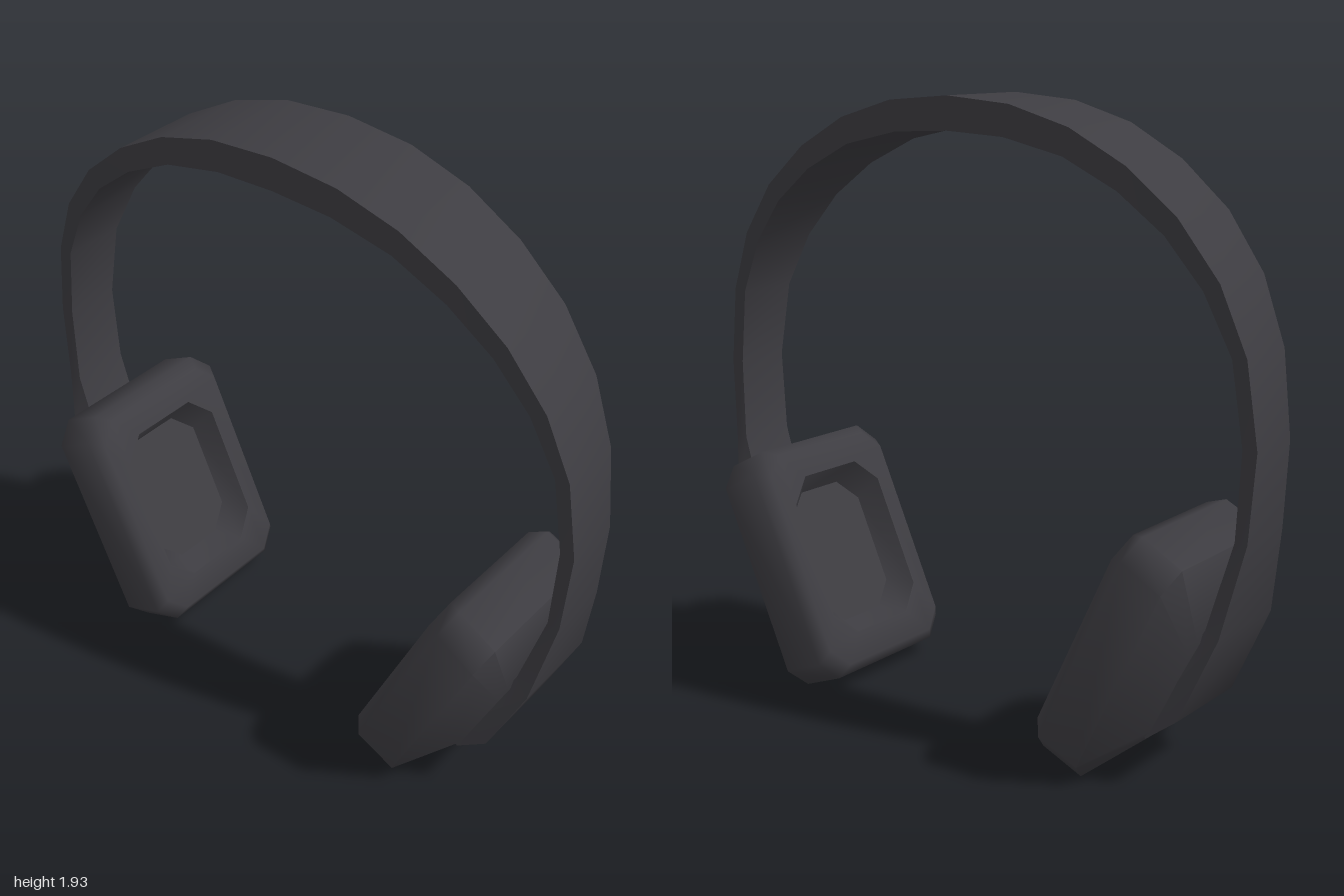
import * as THREE from 'three';
import { toCreasedNormals } from 'three/addons/utils/BufferGeometryUtils.js';

// Skin a list of equal-sized rings; each ring runs right-handed around the direction of travel.
function loft(rings, crease, capStart, capEnd) {
  const n = rings[0].length, index = [];
  for (let i = 0; i < rings.length - 1; i++) {
    for (let j = 0; j < n; j++) {
      const k = (j + 1) % n, a = i * n + j, b = i * n + k;
      index.push(a, b, b + n, a, b + n, a + n);
    }
  }
  const last = (rings.length - 1) * n;
  for (let j = 1; j < n - 1; j++) {
    if (capStart) index.push(0, j + 1, j);
    if (capEnd) index.push(last, last + j, last + j + 1);
  }
  const g = new THREE.BufferGeometry();
  g.setAttribute('position', new THREE.Float32BufferAttribute(rings.flat(2), 3));
  g.setIndex(index);
  return toCreasedNormals(g, crease);
}

// Octagonal ring in the tilted frame of the ear cup:
// half length U, half width Z, corner cut c, depth d outward, shift s along the length.
function cupRing([U, Z, c, d, s = 0]) {
  const corners = [
    [U, Z - c], [U - c, Z], [-U + c, Z], [-U, Z - c],
    [-U, -Z + c], [-U + c, -Z], [U - c, -Z], [U, -Z + c],
  ];
  return corners.map(([u, z]) => [
    0.535 + 0.416 * (u + s) + 0.909 * d,
    0.43 + 0.909 * (u + s) - 0.416 * d,
    z,
  ]);
}

export function createModel() {
  const group = new THREE.Group();
  const charcoal = new THREE.MeshStandardMaterial({ color: 0x3e3d42 });
  charcoal.name = 'charcoal';

  const add = (parent, name, geometry) => {
    const mesh = new THREE.Mesh(geometry, charcoal);
    mesh.name = name;
    parent.add(mesh);
  };

  // Headband half: outer x, y, inner x, y, outer half width, inner half width
  const half = [
    [0, 1.93, 0, 1.83, 0.165, 0.165],
    [0.22, 1.912, 0.2, 1.82, 0.163, 0.163],
    [0.42, 1.855, 0.4, 1.775, 0.157, 0.157],
    [0.6, 1.76, 0.575, 1.69, 0.148, 0.148],
    [0.76, 1.63, 0.72, 1.58, 0.136, 0.136],
    [0.885, 1.465, 0.835, 1.44, 0.12, 0.12],
    [0.965, 1.27, 0.92, 1.265, 0.104, 0.104],
    [1, 1.02, 0.955, 1.02, 0.093, 0.093],
    [0.985, 0.76, 0.945, 0.76, 0.1, 0.098],
    [0.935, 0.49, 0.865, 0.49, 0.15, 0.1],
    [0.815, 0.22, 0.74, 0.26, 0.155, 0.13],
    [0.713, 0.14, 0.66, 0.2, 0.155, 0.13],
  ];
  const bandRing = (side) => ([ox, oy, ix, iy, wo, wi]) => [
    [side * ox, oy, -wo], [side * ox, oy, wo], [side * ix, iy, wi], [side * ix, iy, -wi],
  ];
  const bandRings = [
    ...half.slice(1).reverse().map(bandRing(-1)),
    ...half.map(bandRing(1)),
  ];
  add(group, 'headband', loft(bandRings, 0.9, true, true));

  // Ear cup shell: from the cushion rim round the side to the raised back panel
  const shell = loft([
    [0.27, 0.2, 0.08, 0],
    [0.36, 0.265, 0.065, 0],
    [0.39, 0.295, 0.065, 0.04],
    [0.382, 0.3, 0.065, 0.188],
    [0.173, 0.155, 0.03, 0.284, -0.018],
  ].map(cupRing), 1.2, false, true);

  // Hollow in the cushion: floor and sloping wall
  const recess = loft([
    [0.225, 0.16, 0.075, 0.08],
    [0.27, 0.2, 0.08, 0],
  ].map(cupRing), 0.85, true, false);

  // The cup is symmetric in z, so a half turn gives the opposite side
  for (const [name, turn] of [['leftEarCup', 0], ['rightEarCup', Math.PI]]) {
    const cup = new THREE.Group();
    cup.name = name;
    cup.rotation.y = turn;
    add(cup, 'cupShell', shell);
    add(cup, 'cushionRecess', recess);
    group.add(cup);
  }
  return group;
}
